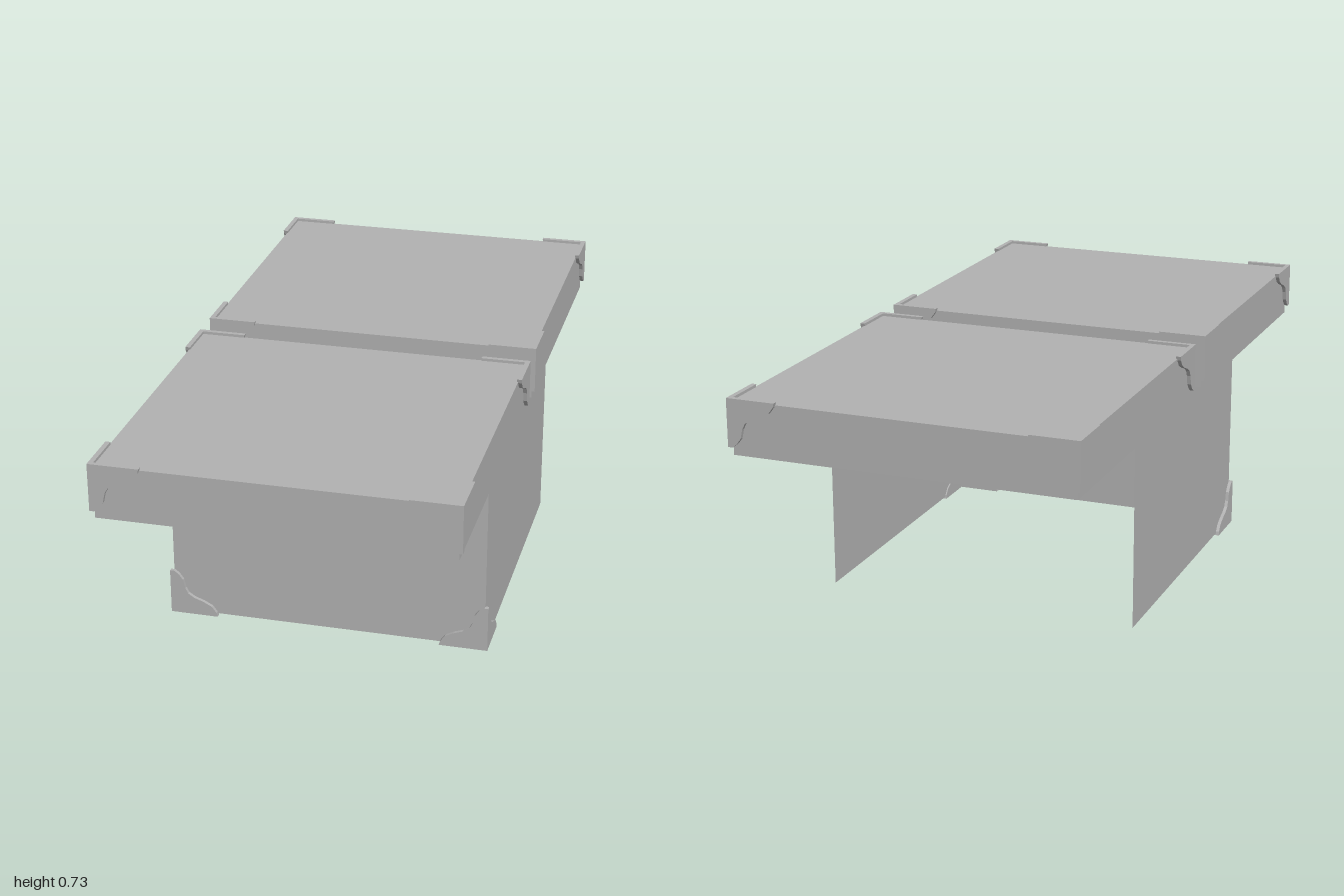
import * as THREE from 'three';

const grey = new THREE.MeshStandardMaterial({ color: 0xb2b2b2, side: THREE.DoubleSide });
grey.name = 'grey';

// Thin sheet with a given centre, size and rotation
function panel(name, w, h, pos, rx = 0, ry = 0) {
  const mesh = new THREE.Mesh(new THREE.PlaneGeometry(w, h), grey);
  mesh.name = name;
  mesh.position.set(...pos);
  mesh.rotation.set(rx, ry, 0);
  return mesh;
}

// Curved edge of a corner plate, measured from the corner
const EDGE = [[0.142, 0], [0.139, 0.012], [0.125, 0.031], [0.1, 0.044], [0.072, 0.054],
  [0.054, 0.066], [0.045, 0.083], [0.039, 0.11], [0.027, 0.126], [0.011, 0.137]];
const THICK = 0.014;

// Corner plate running along su * x and sv * y, outer face at z = 0
function plate(su, sv, start) {
  const pts = [[start, 0], ...EDGE.filter(([u]) => u > start), [start, 0.137]];
  const shape = new THREE.Shape(pts.map(([u, v]) => new THREE.Vector2(su * u, sv * v)));
  const geo = new THREE.ExtrudeGeometry(shape, { depth: THICK, bevelEnabled: false });
  geo.translate(0, 0, -THICK);
  const mesh = new THREE.Mesh(geo, grey);
  mesh.name = 'cornerPlate';
  return mesh;
}

// Two plates meeting at a vertical edge; quarter picks the corner
function cornerBracket(x, y, z, sv, quarter) {
  const g = new THREE.Group();
  g.name = 'cornerBracket';
  const side = plate(1, sv, THICK);
  side.rotation.y = Math.PI / 2;
  g.add(plate(-1, sv, 0), side);
  g.position.set(x, y, z);
  g.rotation.y = quarter * Math.PI / 2;
  return g;
}

// Shallow lid, open underneath, with four corner brackets
function lid(name, zc) {
  const g = new THREE.Group();
  g.name = name;
  const hx = 0.49, hz = 0.466, y0 = 0.566, y1 = 0.719;
  const h = y1 - y0, yc = (y0 + y1) / 2;
  g.add(panel('lidTop', hx * 2, hz * 2, [0, y1, 0], -Math.PI / 2));
  for (const s of [1, -1]) {
    g.add(panel('lidEnd', hx * 2, h, [0, yc, s * hz], 0, s > 0 ? 0 : Math.PI));
    g.add(panel('lidSide', hz * 2, h, [s * hx, yc, 0], 0, s * Math.PI / 2));
  }
  [[1, 1], [1, -1], [-1, -1], [-1, 1]].forEach(([sx, sz], k) =>
    g.add(cornerBracket(sx * 0.501, 0.727, sz * 0.477, -1, k)));
  g.position.z = zc;
  return g;
}

export function createModel() {
  const model = new THREE.Group();
  model.name = 'openBox';

  // Body: front and two sides, open at the back, top and bottom
  const body = new THREE.Group();
  body.name = 'body';
  const hx = 0.465, zf = 0.464, zb = -0.472, y0 = 0.006, y1 = 0.6;
  const h = y1 - y0, yc = (y0 + y1) / 2;
  body.add(panel('frontWall', hx * 2, h, [0, yc, zf]));
  for (const s of [1, -1]) {
    body.add(panel('sideWall', zf - zb, h, [s * hx, yc, (zf + zb) / 2], 0, s * Math.PI / 2));
    body.add(cornerBracket(s * 0.475, 0, 0.475, 1, s > 0 ? 0 : 3));
  }
  model.add(body);

  // Two lids lying side by side across the body
  model.add(lid('frontLid', 0.523), lid('backLid', -0.523));
  return model;
}
